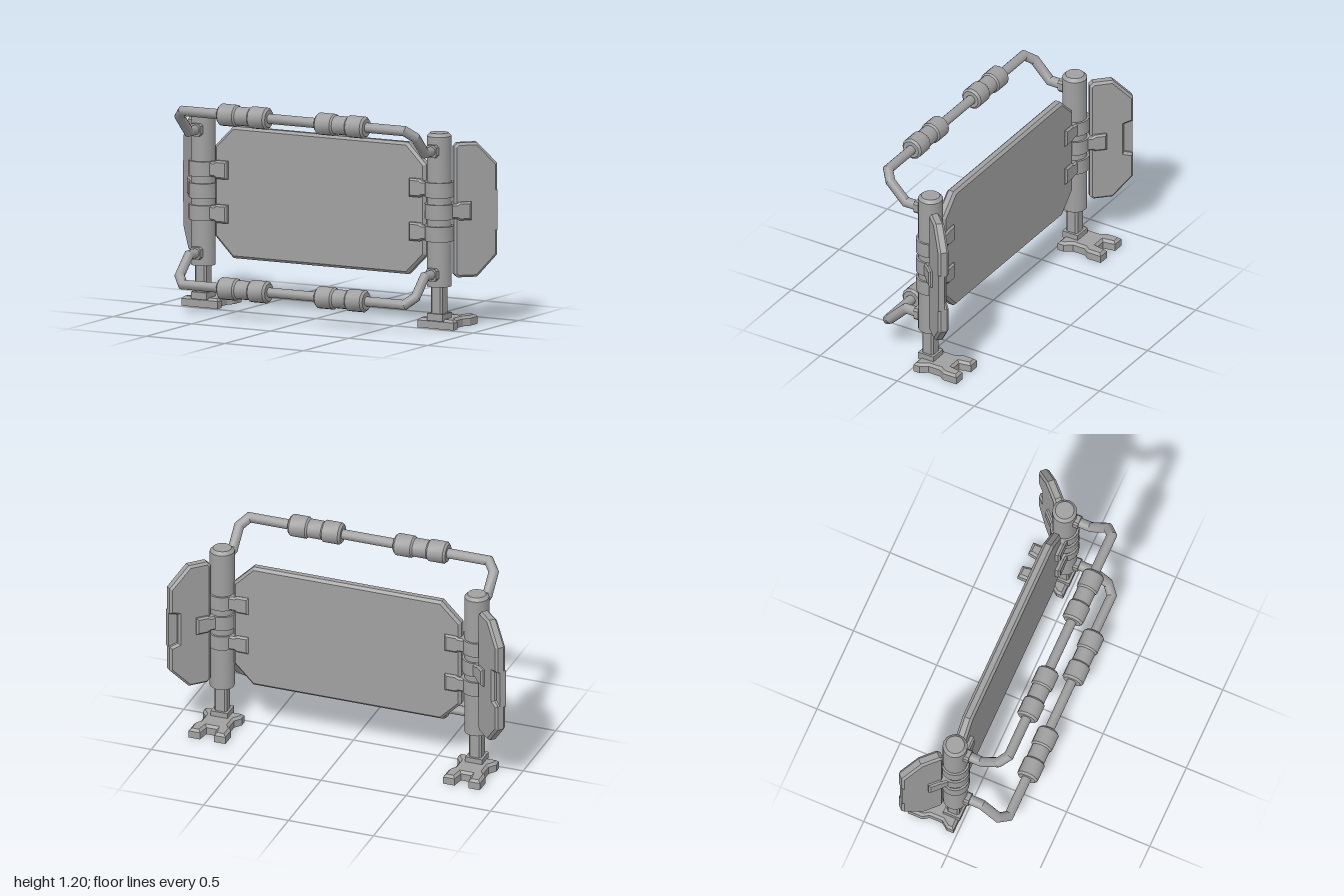
import * as THREE from 'three';
import { toCreasedNormals } from 'three/addons/utils/BufferGeometryUtils.js';

const POST_X = 0.75, POST_Z = -0.06;

export function createModel() {
  const model = new THREE.Group();
  model.name = 'barrier';
  const grey = new THREE.MeshStandardMaterial({ color: 0xa0a0a0 });
  grey.name = 'plain grey';

  const add = (parent, name, geometry, x = 0, y = 0, z = 0) => {
    const mesh = new THREE.Mesh(geometry, grey);
    mesh.name = name;
    mesh.position.set(x, y, z);
    parent.add(mesh);
    return mesh;
  };

  // Flat plate in the xy plane, centred on z = 0, with bevelled edges
  const plate = (points, thickness, bevel) => {
    const shape = new THREE.Shape(points.map(([x, y]) => new THREE.Vector2(x, y)));
    const g = new THREE.ExtrudeGeometry(shape, {
      depth: thickness - 2 * bevel, bevelEnabled: bevel > 0, bevelThickness: bevel,
      bevelSize: bevel, bevelOffset: -bevel, bevelSegments: 1,
    });
    return g.translate(0, 0, bevel - thickness / 2);
  };

  // Turned part around y, profile given as [radius, y] from bottom to top
  const turned = (profile, sides) => toCreasedNormals(
    new THREE.LatheGeometry(profile.map(([r, y]) => new THREE.Vector2(r, y)), sides), 0.6);

  // Round bar along straight segments, mitred at each bend; starts towards +z
  const mitredTube = (points, radius, sides) => {
    const rings = [[]], pos = [];
    for (let k = 0; k < sides; k++) {
      const a = ((k + 0.5) / sides) * Math.PI * 2;
      rings[0].push(new THREE.Vector3(Math.cos(a) * radius, Math.sin(a) * radius, 0).add(points[0]));
    }
    for (let i = 1; i < points.length; i++) {
      const d = points[i].clone().sub(points[i - 1]).normalize();
      const n = d.clone();
      if (i < points.length - 1) n.add(points[i + 1].clone().sub(points[i]).normalize()).normalize();
      rings.push(rings[i - 1].map((p) => {
        const t = points[i].clone().sub(p).dot(n) / d.dot(n);
        return p.clone().addScaledVector(d, t);
      }));
    }
    for (let i = 0; i + 1 < rings.length; i++) {
      for (let k = 0; k < sides; k++) {
        const j = (k + 1) % sides;
        const a = rings[i][k], b = rings[i][j], c = rings[i + 1][j], d = rings[i + 1][k];
        for (const p of [a, b, c, a, c, d]) pos.push(p.x, p.y, p.z);
      }
    }
    const g = new THREE.BufferGeometry();
    g.setAttribute('position', new THREE.Float32BufferAttribute(pos, 3));
    return toCreasedNormals(g, 0.65);
  };

  // Main panel
  const w = 0.67, lo = 0.285, hi = 1.02, c = 0.115;
  add(model, 'mainPanel', plate([
    [-w + c, lo], [w - c, lo], [w, lo + c], [w, hi - c],
    [w - c, hi], [-w + c, hi], [-w, hi - c], [-w, lo + c],
  ], 0.06, 0.015), 0, 0, -0.072);

  // Shared support geometry
  const postGeo = turned([[0, 0.235], [0.069, 0.235], [0.069, 1.072], [0.052, 1.09], [0, 1.09]], 16);
  const ringGeo = turned([[0, -0.042], [0.081, -0.042], [0.081, 0.042], [0, 0.042]], 16);
  const clipGeo = plate([
    [0.03, -0.042], [0.09, -0.042], [0.105, -0.051], [0.172, -0.051],
    [0.172, 0.051], [0.105, 0.051], [0.09, 0.042], [0.03, 0.042],
  ], 0.1, 0.01);
  const legGeo = plate([
    [-0.037, -0.026], [-0.026, -0.037], [0.026, -0.037], [0.037, -0.026],
    [0.037, 0.026], [0.026, 0.037], [-0.026, 0.037], [-0.037, 0.026],
  ], 0.2, 0).rotateX(-Math.PI / 2);

  // Foot: straight front, notched sides and back, chamfered top, flat bottom
  const half = [[0.115, -0.04], [0.115, 0.0], [0.085, 0.04], [0.085, 0.115],
    [0.108, 0.15], [0.108, 0.235], [0.042, 0.235], [0.03, 0.165]];
  const footGeo = plate([...half, ...half.map(([x, y]) => [-x, y]).reverse()], 0.11, 0.014);
  footGeo.rotateX(-Math.PI / 2);
  const fp = footGeo.attributes.position;
  for (let i = 0; i < fp.count; i++) fp.setY(i, Math.max(0, fp.getY(i)));
  footGeo.computeVertexNormals();

  // Wing plate with a shallow recess in the outer edge of its back face
  const a = 0.08, b = 0.325, n = 0.05;
  const wingGeo = plate([
    [a + 0.02, 0.28], [b - c, 0.28], [b, 0.4], [b, 0.545], [b - n, 0.56],
    [b - n, 0.74], [b, 0.755], [b, 0.91], [b - c, 1.03], [a + 0.02, 1.03],
    [a, 1.01], [a, 0.3],
  ], 0.06, 0.013);

  for (const s of [1, -1]) {
    const support = new THREE.Group();
    support.name = s > 0 ? 'leftSupport' : 'rightSupport';
    support.position.set(s * POST_X, 0, POST_Z);
    model.add(support);

    add(support, 'post', postGeo);
    add(support, 'innerLeg', legGeo, 0, 0.15, 0);
    add(support, 'legCollar', new THREE.BoxGeometry(0.1, 0.04, 0.1), 0, 0.065, 0);
    add(support, 'foot', footGeo, 0, 0, POST_Z * -1 - 0.06);

    // Rings and clips holding the main panel
    for (const y of [0.775, 0.53]) {
      add(support, 'panelRing', ringGeo, 0, y, 0);
      add(support, 'panelClip', clipGeo, 0, y, -0.005).rotation.y = s > 0 ? Math.PI : 0;
    }

    // Wing, swung back at 45 degrees
    const wing = new THREE.Group();
    wing.name = 'wing';
    wing.rotation.y = s > 0 ? Math.PI / 4 : (Math.PI * 3) / 4;
    support.add(wing);
    add(wing, 'wingPlate', wingGeo);
    add(wing, 'wingRecess', new THREE.BoxGeometry(n + 0.015, 0.225, 0.035),
      b - n / 2 - 0.0075, 0.65, s * 0.0125);
    add(wing, 'wingRing', ringGeo, 0, 0.652, 0);
    add(wing, 'wingClip', clipGeo, 0, 0.652, 0);

    // Sockets for the rails
    for (const y of [0.995, 0.307]) {
      add(support, 'railSocket', plate([
        [-0.032, -0.022], [-0.022, -0.035], [0.022, -0.035], [0.032, -0.022],
        [0.032, 0.022], [0.022, 0.035], [-0.022, 0.035], [-0.032, 0.022],
      ], 0.06, 0), 0, y, 0.062);
    }
  }

  // Grip: two thick sleeves with a narrower middle
  const gripGeo = turned([
    [0, -0.155], [0.05, -0.155], [0.062, -0.143], [0.062, -0.05], [0.053, -0.04],
    [0.053, 0.04], [0.062, 0.05], [0.062, 0.143], [0.05, 0.155], [0, 0.155],
  ], 12).rotateZ(Math.PI / 2);

  // Upper and lower rails
  for (const [name, yPost, dir] of [['upperRail', 0.995, 1], ['lowerRail', 0.307, -1]]) {
    const rail = new THREE.Group();
    rail.name = name;
    model.add(rail);
    const side = [[0.75, 0, -0.02], [0.75, 0, 0.1], [0.75, 0.1, 0.2], [0.705, 0.14, 0.243]];
    const path = [
      ...side.map(([x, y, z]) => [-x, y, z]),
      ...side.slice().reverse(),
    ].map(([x, y, z]) => new THREE.Vector3(x, yPost + dir * y, z));
    add(rail, 'bar', mitredTube(path, 0.028, 10));
    for (const x of [-0.31, 0.31]) add(rail, 'grip', gripGeo, x, yPost + dir * 0.14, 0.245);
  }
  return model;
}
